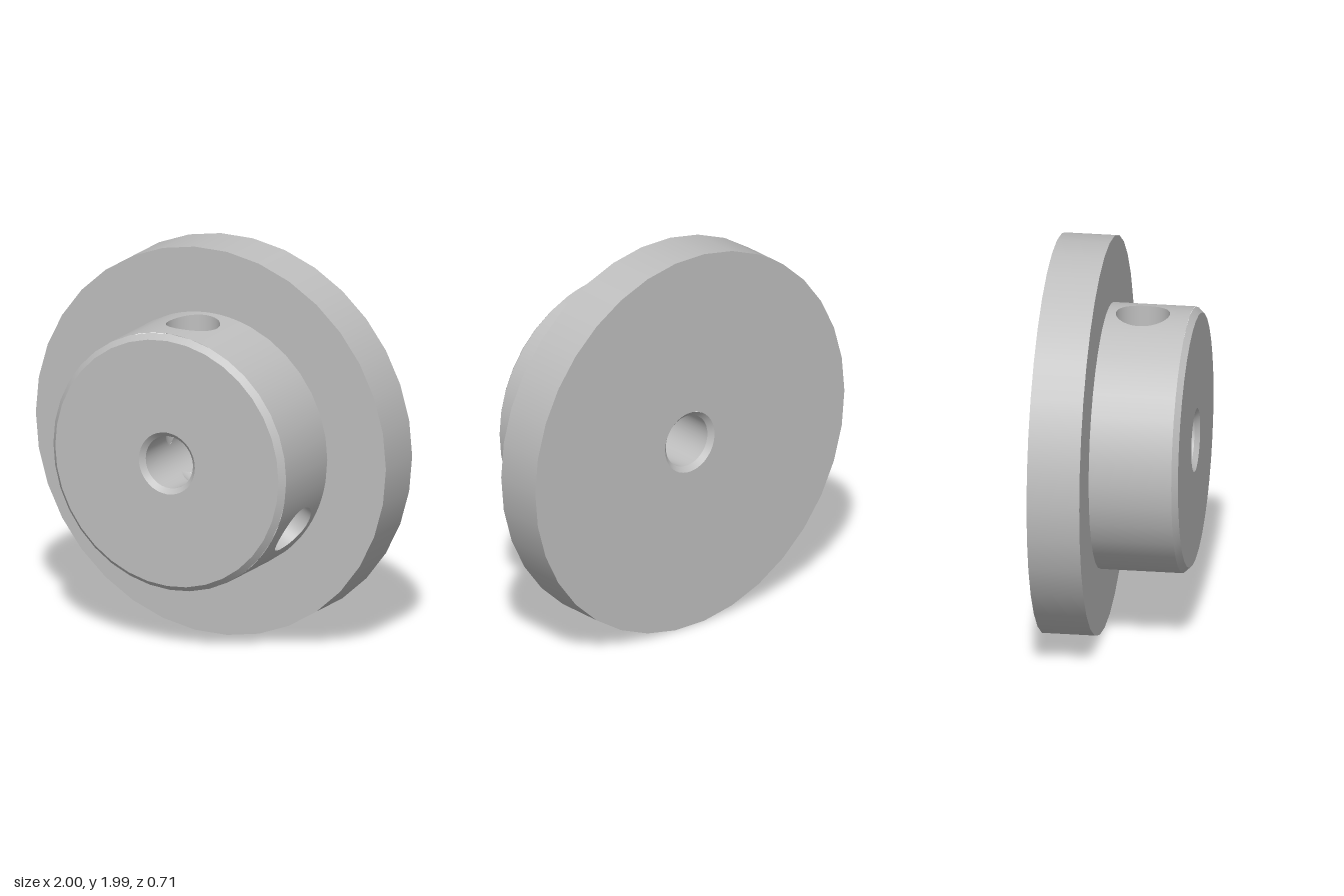
import * as THREE from 'three';
import { ParametricGeometry } from 'three/addons/geometries/ParametricGeometry.js';

const rad = THREE.MathUtils.degToRad;
const FLANGE_R = 1, HUB_R = 0.665, BORE_R = 0.135, BORE_RIM = 0.16;
const BACK = -0.355, STEP = -0.09, SHOULDER = 0.325, FRONT = 0.355, RIM = 0.025;
const HOLE_Z = 0.09, PATCH = 20; // hole centre depth, half-width in degrees of the hub wall round a hole

// side: direction in which the other screw hole lies
const HOLES = [{ angle: rad(90), side: -1 }, { angle: rad(-30), side: 1 }];

export function createModel() {
  const model = new THREE.Group();
  const pulley = new THREE.Group();
  pulley.name = 'flangedCollar';
  pulley.position.y = 1;
  model.add(pulley);

  const metal = new THREE.MeshStandardMaterial({ color: 0xbfbfbf });
  metal.name = 'grey metal';

  const add = (name, geometry) => {
    const mesh = new THREE.Mesh(geometry, metal);
    mesh.name = name;
    pulley.add(mesh);
  };

  // Surface turned about the z axis, from (r0, z0) to (r1, z1)
  const turned = (name, r0, z0, r1, z1, segments, from = 0, sweep = 360) => {
    const profile = [new THREE.Vector2(r0, z0), new THREE.Vector2(r1, z1)];
    const g = new THREE.LatheGeometry(profile, segments, rad(from + 90), rad(sweep));
    add(name, g.rotateX(Math.PI / 2));
  };

  // Flange
  turned('flangeBack', BORE_RIM, BACK, FLANGE_R, BACK, 34);
  turned('flangeEdge', FLANGE_R, BACK, FLANGE_R, STEP, 34);
  turned('flangeFront', FLANGE_R, STEP, HUB_R - 0.01, STEP, 34);

  // Hub, leaving out the wall round each screw hole
  turned('hubWall', HUB_R, STEP, HUB_R, SHOULDER, 20, 110, 200);
  turned('hubWall', HUB_R, STEP, HUB_R, SHOULDER, 8, -10, 80);
  turned('hubChamfer', HUB_R, SHOULDER, HUB_R - 0.028, FRONT, 36);
  turned('hubFace', HUB_R - 0.028, FRONT, BORE_RIM, FRONT, 36);

  // Bore chamfers
  turned('boreChamferFront', BORE_RIM, FRONT, BORE_R, FRONT - RIM, 36);
  turned('boreChamferBack', BORE_R, BACK + RIM, BORE_RIM, BACK, 36);

  // Bore wall in front of and behind the openings of the screw holes
  const opening = a => BORE_R * Math.max(0, ...HOLES.map(h => Math.cos(a - h.angle)));
  const bore = (name, top, bottom) => add(name, new ParametricGeometry((u, v, p) => {
    const a = u * Math.PI * 2;
    p.set(BORE_R * Math.cos(a), BORE_R * Math.sin(a), THREE.MathUtils.lerp(top(a), bottom(a), v));
  }, 36, 1));
  bore('boreFront', () => FRONT - RIM, a => HOLE_Z + opening(a));
  bore('boreBack', a => HOLE_Z - opening(a), () => BACK + RIM);

  for (const { angle, side } of HOLES) {
    // Hub wall between a rectangle and the round hole
    add('hubWallAroundHole', new ParametricGeometry((u, v, p) => {
      const t = u * Math.PI * 2, c = Math.cos(t), s = Math.sin(t);
      const m = Math.max(Math.abs(c), Math.abs(s));
      const outerZ = (STEP + SHOULDER) / 2 + (s / m) * (SHOULDER - STEP) / 2;
      const a = angle + THREE.MathUtils.lerp(rad(PATCH) * c / m, Math.asin(BORE_R * c / HUB_R), v);
      const z = THREE.MathUtils.lerp(outerZ, HOLE_Z + BORE_R * s, v);
      p.set(HUB_R * Math.cos(a), HUB_R * Math.sin(a), z);
    }, 48, 4));

    // Screw hole wall, running in to the bore and mitred against the other hole
    add('screwHole', new ParametricGeometry((u, v, p) => {
      const t = u * Math.PI * 2;
      const x = BORE_R * Math.cos(t), y = BORE_R * Math.sin(t);
      const inner = Math.max(Math.abs(y), side * x / Math.sqrt(3));
      const w = THREE.MathUtils.lerp(Math.sqrt(HUB_R * HUB_R - x * x), inner, v);
      const c = Math.cos(angle), s = Math.sin(angle);
      p.set(c * w - s * x, s * w + c * x, HOLE_Z + y);
    }, 48, 1));
  }

  return model;
}
